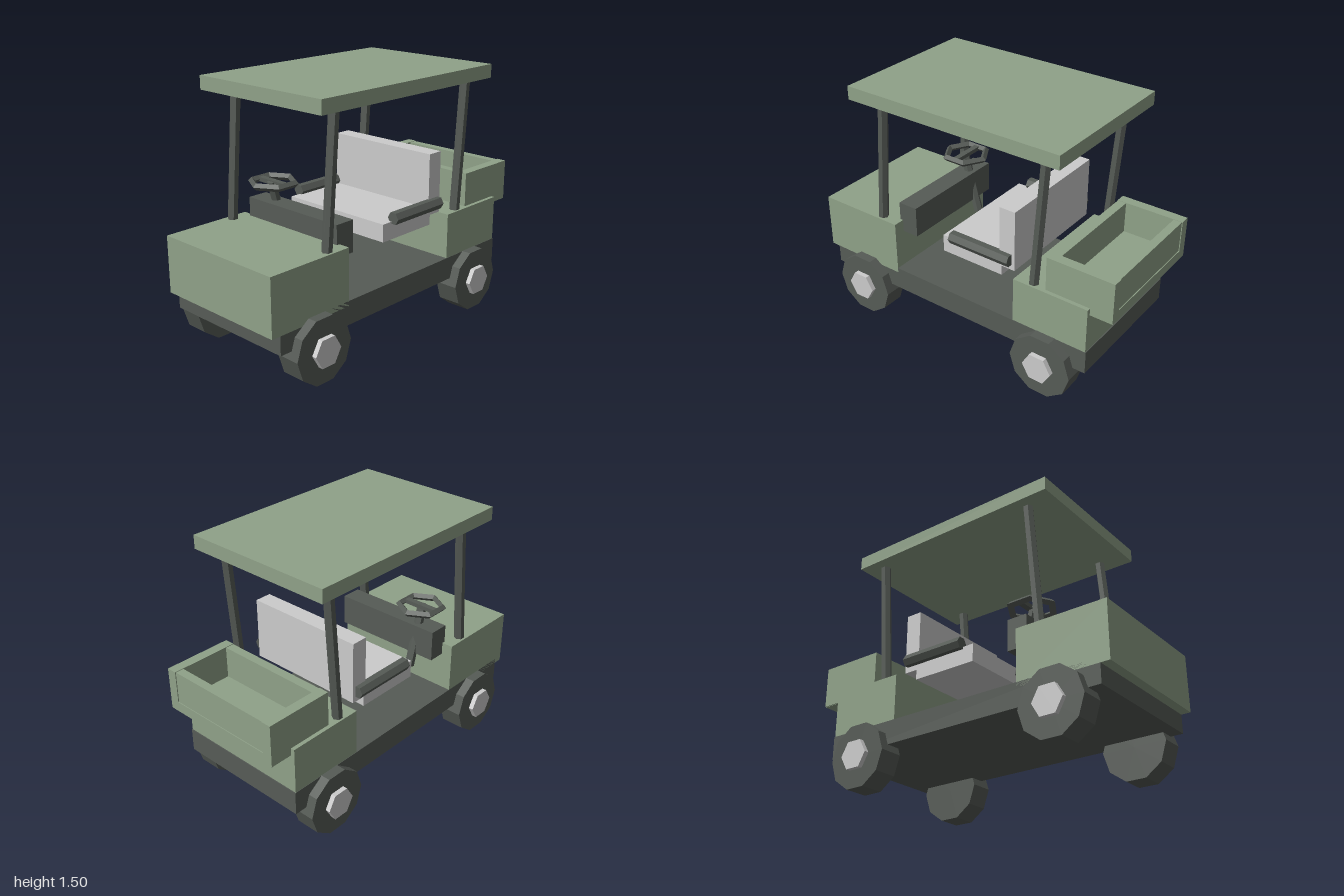
import * as THREE from 'three';

const mat = (color) => new THREE.MeshStandardMaterial({ color, flatShading: true });

export function createModel() {
  const cart = new THREE.Group();
  cart.name = 'utilityCart';
  const green = mat(0x8fa188);
  const dark = mat(0x565b56);
  const grey = mat(0xcccccc);

  const add = (name, geometry, material) => {
    const mesh = new THREE.Mesh(geometry, material);
    mesh.name = name;
    cart.add(mesh);
    return mesh;
  };
  // Box given by its limits on each axis
  const box = (name, material, [x0, x1], [y0, y1], [z0, z1]) =>
    add(name, new THREE.BoxGeometry(x1 - x0, y1 - y0, z1 - z0), material)
      .position.set((x0 + x1) / 2, (y0 + y1) / 2, (z0 + z1) / 2);
  // Hexagonal bar between two points
  const bar = (name, material, a, b, r) => {
    const from = new THREE.Vector3(...a), to = new THREE.Vector3(...b);
    const dir = to.clone().sub(from);
    const mesh = add(name, new THREE.CylinderGeometry(r, r, dir.length(), 6), material);
    mesh.position.copy(from).add(to).multiplyScalar(0.5);
    mesh.quaternion.setFromUnitVectors(new THREE.Vector3(0, 1, 0), dir.normalize());
    return mesh;
  };

  // Body
  box('chassis', dark, [-0.42, 0.42], [0.23, 0.37], [-0.87, 0.945]);
  box('hood', green, [-0.42, 0.42], [0.34, 0.675], [0.45, 1]);
  box('rearBody', green, [-0.418, 0.418], [0.35, 0.645], [-0.865, -0.395]);
  box('dashboard', dark, [-0.35, 0.35], [0.6, 0.787], [0.345, 0.47]);
  box('roof', green, [-0.468, 0.468], [1.425, 1.505], [-0.695, 0.69]);

  // Seat
  box('seatCushion', grey, [-0.37, 0.37], [0.6, 0.705], [-0.285, 0.125]);
  box('seatBack', grey, [-0.37, 0.37], [0.66, 1.028], [-0.37, -0.27]);

  // Open cargo tray
  box('trayFloor', green, [-0.39, 0.39], [0.6, 0.66], [-1, -0.595]);
  box('trayBackWall', green, [-0.34, 0.34], [0.6, 0.848], [-0.995, -0.945]);
  box('trayFrontWall', green, [-0.34, 0.34], [0.6, 0.848], [-0.645, -0.592]);

  for (const s of [-1, 1]) {
    const x = 0.38 * s;
    box('traySideWall', green, s < 0 ? [-0.395, -0.335] : [0.335, 0.395], [0.602, 0.85], [-1, -0.59]);
    bar('frontRoofPost', dark, [x, 0.66, 0.575], [x, 1.44, 0.515], 0.03);
    bar('rearRoofPost', dark, [x, 0.63, -0.505], [x, 1.44, -0.565], 0.03);
    // Armrest turned so that a flat side faces up
    bar('armrest', dark, [x, 0.725, 0.055], [x, 0.725, -0.35], 0.038).rotateY(Math.PI / 6);

    // Wheels with hub caps
    for (const z of [0.69, -0.613]) {
      const tyre = add('wheel', new THREE.CylinderGeometry(0.195, 0.195, 0.143, 10), dark);
      tyre.position.set(0.405 * s, 0.186, z);
      tyre.rotation.z = Math.PI / 2;
      const hub = add('hubCap', new THREE.CylinderGeometry(0.092, 0.092, 0.06, 6), grey);
      hub.position.set(0.475 * s, 0.187, z);
      hub.rotation.z = Math.PI / 2;
    }
  }

  // Steering column and six-sided wheel
  bar('steeringColumn', dark, [-0.207, 0.52, 0.32], [-0.207, 0.9, 0.425], 0.028);
  const steering = new THREE.Group();
  steering.name = 'steeringWheel';
  const rim = new THREE.Mesh(new THREE.TorusGeometry(0.13, 0.021, 4, 6), dark);
  rim.name = 'steeringRim';
  rim.rotation.set(Math.PI / 2, 0, Math.PI / 6);
  const spoke = new THREE.Mesh(new THREE.BoxGeometry(0.22, 0.025, 0.035), dark);
  spoke.name = 'steeringSpoke';
  steering.add(rim, spoke);
  steering.position.set(-0.207, 0.893, 0.41);
  cart.add(steering);

  return cart;
}
